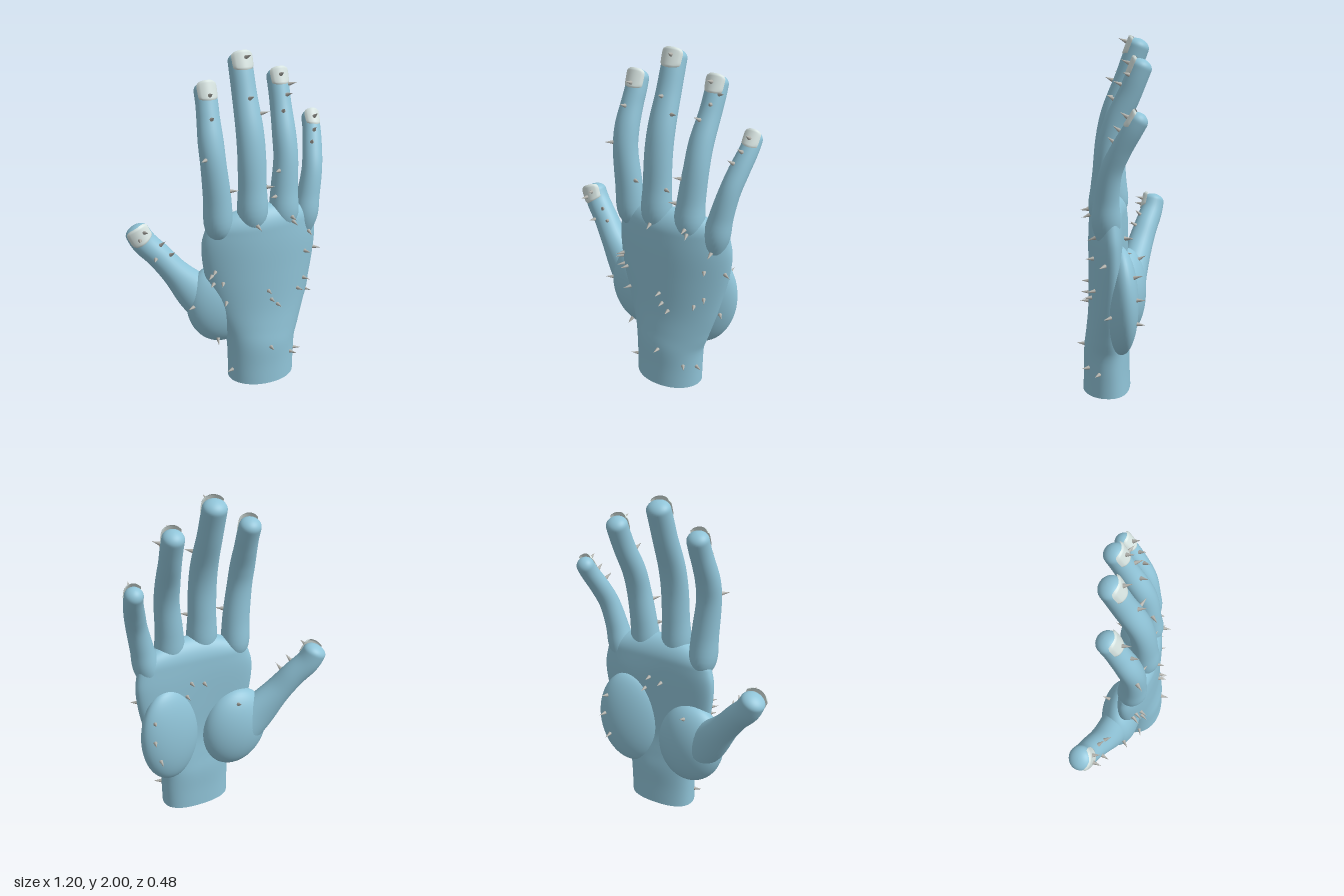
import * as THREE from 'three';

const skin = new THREE.MeshStandardMaterial({ color: 0x90c4d8 });
skin.name = 'blue skin';
const nailMat = new THREE.MeshStandardMaterial({ color: 0xd6e3e0, side: THREE.DoubleSide });
nailMat.name = 'pale nail';
const spikeMat = new THREE.MeshStandardMaterial({ color: 0xb2b2ac });
spikeMat.name = 'grey spike';

// Swept limb: keys are [x, y, z, half width, half depth].
// place(s, u, v) maps cross-section units to space, surface(s, a) follows the rounded skin.
function limb(keys, { dome = 0.045, bend = 0, power = 1 } = {}) {
  const path = new THREE.CatmullRomCurve3(keys.map(k => new THREE.Vector3(k[0], k[1], k[2])), false, 'catmullrom');
  const size = new THREE.CatmullRomCurve3(keys.map(k => new THREE.Vector3(k[3], k[4], 0)), false, 'catmullrom');
  const front = new THREE.Vector3(0, 0, 1);
  const end = path.getPoint(1);
  const pw = v => Math.sign(v) * Math.abs(v) ** power;
  const place = (s, u, v) => {
    const r = size.getPoint(s), t = path.getTangent(s);
    const side = new THREE.Vector3().crossVectors(t, front).normalize();
    const up = new THREE.Vector3().crossVectors(side, t).normalize();
    const x = r.x * u;
    return path.getPoint(s).addScaledVector(side, x).addScaledVector(up, r.y * v - bend * x * x);
  };
  const surface = (s, a) => {
    const d = Math.min(1, path.getPoint(s).distanceTo(end) / dome);
    const f = Math.sqrt(Math.max(0, 1 - (1 - d) ** 2));
    return place(s, f * pw(Math.cos(a)), f * pw(Math.sin(a)));
  };
  return { place, surface };
}

function build(pos, idx) {
  const g = new THREE.BufferGeometry();
  g.setAttribute('position', new THREE.Float32BufferAttribute(pos, 3));
  g.setIndex(idx);
  g.computeVertexNormals();
  return g;
}

// Closed skin around a limb, with a flat cap at its start
function limbGeometry({ surface }, rows = 52, seg = 32) {
  const pos = [], idx = [];
  for (let i = 0; i <= rows; i++) {
    const s = 1 - (1 - i / rows) ** 1.8;
    for (let j = 0; j < seg; j++) pos.push(...surface(s, j / seg * Math.PI * 2));
  }
  for (let i = 0; i < rows; i++) for (let j = 0; j < seg; j++) {
    const k = (j + 1) % seg, a = i * seg, b = a + seg;
    idx.push(a + j, b + j, a + k, b + j, b + k, a + k);
  }
  const base = pos.length / 3;
  for (let j = 0; j < seg; j++) pos.push(...surface(0, j / seg * Math.PI * 2));
  for (let j = 1; j < seg - 1; j++) idx.push(base, base + j, base + j + 1);
  return build(pos, idx);
}

// Gently curved nail plate over the last stretch of a finger, its rim turned down
function nailGeometry({ place }, start) {
  const n = 14, pos = [], idx = [];
  for (let i = 0; i <= n; i++) for (let j = 0; j <= n; j++) {
    const u = i / n, v = j / n * 2 - 1;
    const rim = i === 0 || i === n || j === 0 || j === n;
    const width = 0.97 * (1 - 0.2 * Math.abs(u * 2 - 1) ** 6) * (0.92 + 0.08 * u);
    const s = start + (1 - start) * (u - 0.16 * v ** 4 * (u - 0.5));
    pos.push(...place(s, v * width, (rim ? 0.96 : 1.07) - 0.4 * v * v));
  }
  for (let i = 0; i < n; i++) for (let j = 0; j < n; j++) {
    const a = i * (n + 1) + j, b = a + n + 1;
    idx.push(a, a + 1, b, b, a + 1, b + 1);
  }
  return build(pos, idx);
}

const digits = {
  indexFinger: [[-0.09, 0.93, 0.02, 0.03, 0.03], [-0.115, 1.03, 0.04, 0.08, 0.08], [-0.125, 1.2, 0.05, 0.08, 0.075],
    [-0.145, 1.4, 0.05, 0.073, 0.068], [-0.15, 1.53, 0.025, 0.072, 0.066], [-0.145, 1.65, -0.02, 0.065, 0.062],
    [-0.14, 1.73, -0.052, 0.063, 0.06], [-0.14, 1.835, -0.095, 0.061, 0.06]],
  middleFinger: [[0.08, 0.95, 0.06, 0.04, 0.04], [0.08, 1.08, 0.08, 0.088, 0.082], [0.08, 1.25, 0.075, 0.083, 0.075],
    [0.08, 1.43, 0.063, 0.082, 0.069], [0.08, 1.58, 0.03, 0.079, 0.068], [0.08, 1.75, -0.037, 0.071, 0.066],
    [0.08, 1.87, -0.08, 0.069, 0.065], [0.08, 1.975, -0.12, 0.067, 0.063]],
  ringFinger: [[0.28, 0.92, 0.05, 0.035, 0.035], [0.285, 1.05, 0.07, 0.086, 0.08], [0.29, 1.2, 0.06, 0.08, 0.075],
    [0.305, 1.38, 0.042, 0.072, 0.068], [0.31, 1.52, 0.002, 0.069, 0.066], [0.32, 1.66, -0.065, 0.062, 0.063],
    [0.325, 1.76, -0.108, 0.061, 0.061], [0.325, 1.86, -0.15, 0.06, 0.06]],
  littleFinger: [[0.41, 0.82, 0.02, 0.03, 0.03], [0.44, 1.0, 0.04, 0.074, 0.076], [0.465, 1.14, 0.035, 0.067, 0.067],
    [0.495, 1.28, 0.012, 0.06, 0.06], [0.52, 1.39, -0.037, 0.058, 0.056], [0.545, 1.5, -0.102, 0.053, 0.053],
    [0.552, 1.588, -0.155, 0.05, 0.05]],
  thumb: [[-0.1, 0.46, -0.04, 0.14, 0.1], [-0.22, 0.58, -0.06, 0.12, 0.09], [-0.335, 0.72, -0.095, 0.083, 0.08],
    [-0.42, 0.83, -0.13, 0.075, 0.073], [-0.5, 0.92, -0.162, 0.074, 0.07], [-0.55, 1.02, -0.18, 0.07, 0.066]],
};

// Spike spots as x, y pairs
const backSpikes = [0.09, 1.96, -0.14, 1.78, 0.32, 1.84, 0.55, 1.57, -0.51, 1.0, -0.54, 0.96, -0.46, 0.84, -0.42, 0.91,
  -0.37, 0.85, -0.15, 1.66, 0.08, 1.75, 0.145, 1.66, 0.3, 1.65, 0.34, 1.73, 0.37, 1.78, 0.53, 1.5, 0.5, 1.44, -0.205, 1.45,
  -0.06, 1.25, 0.155, 1.25, 0.24, 1.33, 0.217, 1.18, 0.08, 1.04, 0.3, 1.06, 0.31, 1.03, 0.44, 0.93, 0.41, 0.81, 0.505, 0.79,
  -0.15, 0.76, -0.165, 0.73, -0.155, 0.68, -0.11, 0.69, -0.09, 0.56, 0.15, 0.62, 0.17, 0.56, 0.21, 0.52, 0.36, 0.58,
  0.41, 0.63, 0.47, 0.5, 0.16, 0.25, 0.31, 0.16, 0.365, 0.14, -0.045, 0.08, -0.27, 0.53, -0.12, 0.29];
const palmSpikes = [0.2, 0.88, 0.23, 0.8, 0.12, 0.86, 0.46, 0.72, 0.47, 0.6, 0.44, 0.46, -0.07, 0.7];

export function createModel() {
  const group = new THREE.Group();
  const add = (name, geometry, material) => {
    const mesh = new THREE.Mesh(geometry, material);
    mesh.name = name;
    group.add(mesh);
  };

  // Wrist and palm, arched across the knuckles
  const hand = limb([[0.16, 0, 0.065, 0.21, 0.135], [0.16, 0.12, 0.065, 0.213, 0.13], [0.16, 0.25, 0.065, 0.22, 0.128],
    [0.165, 0.36, 0.065, 0.25, 0.114], [0.165, 0.5, 0.066, 0.295, 0.1], [0.16, 0.7, 0.064, 0.345, 0.1],
    [0.16, 0.88, 0.064, 0.365, 0.1], [0.16, 1.0, 0.064, 0.345, 0.095], [0.155, 1.13, 0.064, 0.3, 0.085]],
  { dome: 0.12, bend: 0.45, power: 0.92 });
  add('wristAndPalm', limbGeometry(hand, 60, 64), skin);

  // Fleshy pads on the palm side; the heel slopes in towards the middle of the palm
  const pad = (name, radii, turn, tilt, centre) => add(name, new THREE.SphereGeometry(1, 40, 28)
    .scale(...radii).rotateY(turn).rotateZ(tilt).translate(...centre), skin);
  pad('thumbPad', [0.21, 0.26, 0.12], 0, 0.15, [-0.08, 0.5, -0.03]);
  pad('heelPad', [0.205, 0.31, 0.095], 0.3, -0.06, [0.335, 0.56, -0.022]);

  // Fingers, thumb and nails
  for (const [name, keys] of Object.entries(digits)) {
    const digit = limb(keys);
    add(name, limbGeometry(digit), skin);
    add(name + 'Nail', nailGeometry(digit, 1 - 1 / (keys.length - 1)), nailMat);
  }

  // Small spikes standing on the skin
  group.updateMatrixWorld(true);
  const targets = [...group.children];
  const spikes = new THREE.Group();
  spikes.name = 'spikes';
  const cone = new THREE.ConeGeometry(0.013, 0.055, 8).translate(0, 0.021, 0);
  const yAxis = new THREE.Vector3(0, 1, 0), ray = new THREE.Raycaster();
  const plant = (list, dir) => {
    for (let i = 0; i < list.length; i += 2) {
      ray.set(new THREE.Vector3(list[i], list[i + 1], dir * 2), new THREE.Vector3(0, 0, -dir));
      const hit = ray.intersectObjects(targets, false)[0];
      if (!hit) continue;
      const spike = new THREE.Mesh(cone, spikeMat);
      spike.name = 'spike';
      spike.position.copy(hit.point);
      spike.quaternion.setFromUnitVectors(yAxis, hit.face.normal);
      spikes.add(spike);
    }
  };
  plant(backSpikes, 1);
  plant(palmSpikes, -1);
  group.add(spikes);
  return group;
}
